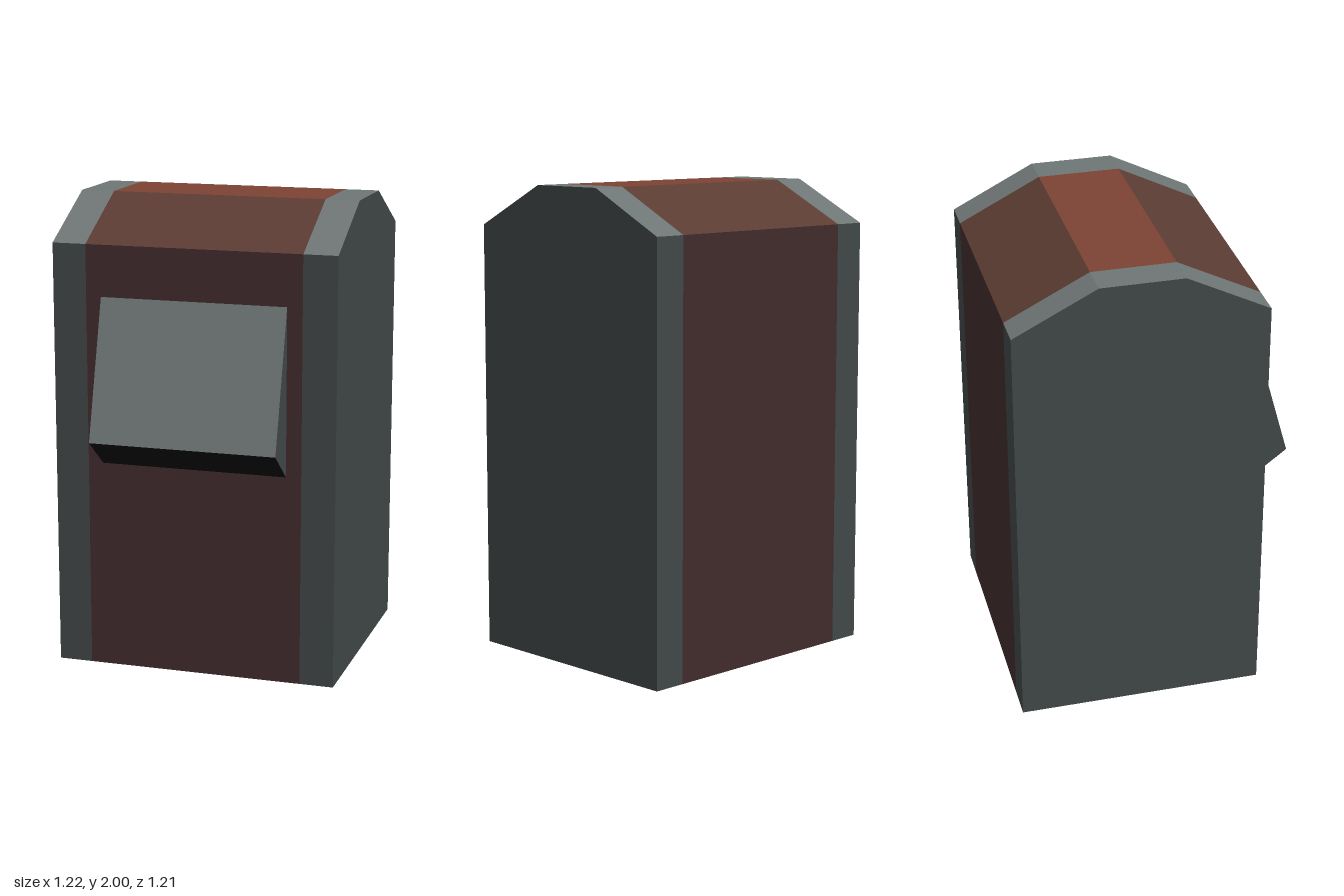
import * as THREE from 'three';

const paint = (name, color) => {
  const m = new THREE.MeshStandardMaterial({ color });
  m.name = name;
  return m;
};

// Flat mesh from convex polygons, each a counter-clockwise list of [x, y, z] corners
function facets(name, material, polygons) {
  const pos = [];
  for (const p of polygons)
    for (let i = 1; i < p.length - 1; i++) pos.push(...p[0], ...p[i], ...p[i + 1]);
  const g = new THREE.BufferGeometry();
  g.setAttribute('position', new THREE.Float32BufferAttribute(pos, 3));
  g.computeVertexNormals();
  const mesh = new THREE.Mesh(g, material);
  mesh.name = name;
  return mesh;
}

// Strip of surface between x0 and x1 along one profile edge, given as [z, y] points
const strip = (x0, x1, [z0, y0], [z1, y1]) =>
  [[x0, y0, z0], [x1, y0, z0], [x1, y1, z1], [x0, y1, z1]];

// Both end caps of a profile at x = -w and x = +w
const caps = (w, profile) => [
  profile.map(([z, y]) => [-w, y, z]),
  profile.map(([z, y]) => [w, y, z]).reverse(),
];

export function createModel() {
  const wallGrey = paint('dark grey', 0x404646);
  const roofGrey = paint('light grey', 0x6e7675);
  const wallRed = paint('dark maroon', 0x402b2c);
  const slopeRed = paint('brown red', 0x5b3c33);
  const topRed = paint('rust red', 0x7c4334);
  const black = paint('black', 0x0a0a0a);

  const model = new THREE.Group();
  model.name = 'bin';
  const W = 0.61, S = 0.465;

  // Body profile from front bottom, over the roof, to back bottom
  const body = [[0.443, 0], [0.443, 1.823], [0.092, 2], [-0.258, 2], [-0.607, 1.823], [-0.607, 0]];
  const panels = [
    ['frontWall', wallRed, wallGrey],
    ['frontRoofSlope', slopeRed, roofGrey],
    ['roofTop', topRed, roofGrey],
    ['backRoofSlope', slopeRed, roofGrey],
    ['backWall', wallRed, wallGrey],
  ];
  panels.forEach(([name, centre, edge], i) => {
    const p = body[i], q = body[i + 1];
    model.add(facets(name + 'Panel', centre, [strip(-S, S, p, q)]));
    model.add(facets(name + 'Edges', edge, [strip(-W, -S, p, q), strip(S, W, p, q)]));
  });
  model.add(facets('sideWalls', wallGrey, caps(W, body)));
  model.add(facets('base', black, [strip(-W, W, body[5], body[0])]));

  // Wedge-shaped flap on the front
  const flap = new THREE.Group();
  flap.name = 'flap';
  const F = 0.4, wedge = [[0.443, 0.895], [0.607, 1.02], [0.443, 1.605]];
  flap.add(facets('flapFace', roofGrey, [strip(-F, F, wedge[1], wedge[2])]));
  flap.add(facets('flapUnderside', black, [strip(-F, F, wedge[0], wedge[1])]));
  flap.add(facets('flapSides', wallGrey, caps(F, wedge)));
  model.add(flap);
  return model;
}
